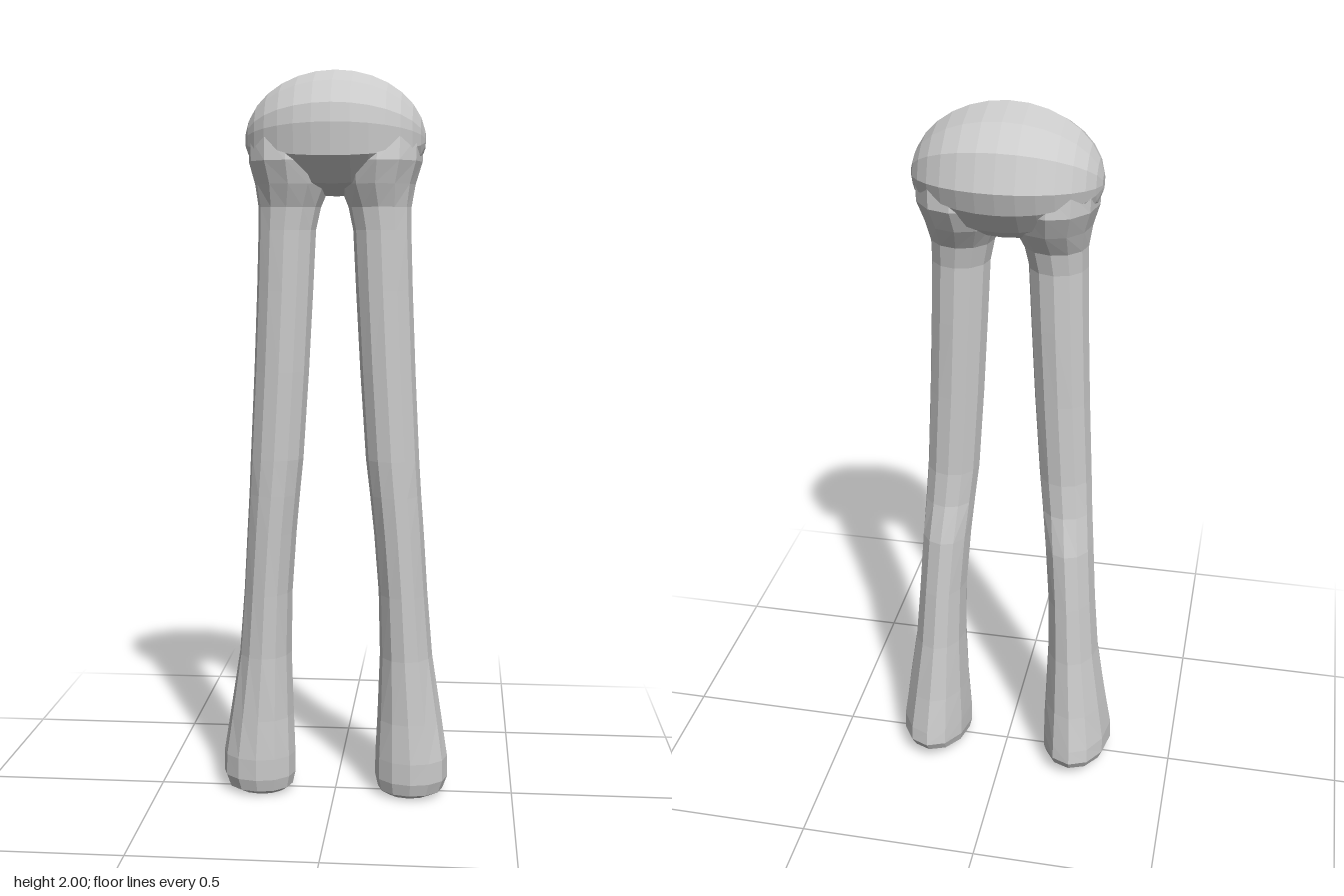
import * as THREE from 'three';

const material = new THREE.MeshStandardMaterial({ color: 0xcccccc, flatShading: true });

// Skin a list of equal-length rings of [x, y, z] points and close both ends
function loft(name, rings, flip = false) {
  const n = rings[0].length, m = rings.length;
  const points = rings.flat();
  const index = [];
  const tri = (a, b, c) => (flip ? index.push(a, c, b) : index.push(a, b, c));
  for (let i = 0; i < m - 1; i++) {
    for (let j = 0; j < n; j++) {
      const k = (j + 1) % n;
      const a = i * n + j, b = i * n + k;
      tri(a, a + n, b);
      tri(b, a + n, b + n);
    }
  }
  for (const [r, end] of [[0, false], [m - 1, true]]) {
    const centre = [0, 1, 2].map((c) => rings[r].reduce((s, p) => s + p[c], 0) / n);
    const ci = points.push(centre) - 1;
    for (let j = 0; j < n; j++) {
      const a = r * n + j, b = r * n + ((j + 1) % n);
      if (end) tri(ci, b, a); else tri(ci, a, b);
    }
  }
  const geometry = new THREE.BufferGeometry();
  geometry.setAttribute('position', new THREE.Float32BufferAttribute(points.flat(), 3));
  geometry.setIndex(index);
  const flat = geometry.toNonIndexed();
  flat.computeVertexNormals();
  const mesh = new THREE.Mesh(flat, material);
  mesh.name = name;
  return mesh;
}

// Leg levels: y, inner x, outer x, front z, back z, z of the widest line, rise of the back edge
const LEG = [
  [0.00, 0.145, 0.275, 0.065, -0.10, 0.01, 0.02],
  [0.015, 0.122, 0.305, 0.088, -0.145, 0.01, 0.025],
  [0.05, 0.114, 0.318, 0.098, -0.163, 0.01, 0.02],
  [0.11, 0.114, 0.317, 0.099, -0.157, 0.01, 0],
  [0.22, 0.119, 0.300, 0.094, -0.137, 0.00, 0],
  [0.40, 0.125, 0.272, 0.090, -0.113, -0.005, 0],
  [0.58, 0.121, 0.257, 0.094, -0.098, 0.00, 0],
  [0.75, 0.108, 0.246, 0.099, -0.082, 0.01, 0],
  [0.86, 0.097, 0.238, 0.102, -0.055, 0.02, 0],
  [0.96, 0.086, 0.232, 0.104, -0.046, 0.03, 0],
  [1.20, 0.070, 0.220, 0.105, -0.046, 0.03, 0],
  [1.42, 0.058, 0.211, 0.105, -0.049, 0.03, 0],
  [1.58, 0.050, 0.206, 0.105, -0.050, 0.03, 0],
  [1.64, 0.037, 0.206, 0.108, -0.062, 0.025, 0],
  [1.70, 0.012, 0.216, 0.132, -0.105, 0.015, 0],
  [1.76, 0.004, 0.234, 0.150, -0.136, 0.005, 0],
  [1.82, 0.004, 0.236, 0.135, -0.130, 0.00, 0],
];

function leg(name, side) {
  const sides = 12;
  const rings = LEG.map(([y, inner, outer, front, back, mid, rise]) =>
    Array.from({ length: sides }, (_, j) => {
      const a = (j / sides) * Math.PI * 2;
      const c = Math.cos(a), s = Math.sin(a);
      const x = (inner + outer) / 2 + c * (outer - inner) / 2;
      const z = mid + s * (s > 0 ? front - mid : mid - back);
      return [side * x, y + rise * Math.max(0, -s), z];
    }));
  return loft(name, rings, side < 0);
}

// Middle section of the head as [z, y], running over the front
const HEAD = [
  [0.025, 2.0], [0.115, 1.965], [0.162, 1.905], [0.173, 1.855], [0.168, 1.77],
  [0.11, 1.70], [0.03, 1.67], [-0.04, 1.67], [-0.11, 1.71], [-0.155, 1.77],
  [-0.173, 1.83], [-0.14, 1.92], [-0.07, 1.975],
];

function head() {
  const half = 0.243, steps = 14, midY = 1.815;
  const rings = [];
  for (let i = 0; i <= steps; i++) {
    const t = Math.PI * (0.04 + 0.92 * i / steps);
    const x = half * Math.cos(t);
    const s = Math.sin(t);
    rings.push(HEAD.map(([z, y]) => [x, midY + (y - midY) * s, z * s]));
  }
  return loft('head', rings);
}

export function createModel() {
  const model = new THREE.Group();
  model.name = 'twoLeggedPeg';
  model.add(head(), leg('leftLeg', 1), leg('rightLeg', -1));
  return model;
}
